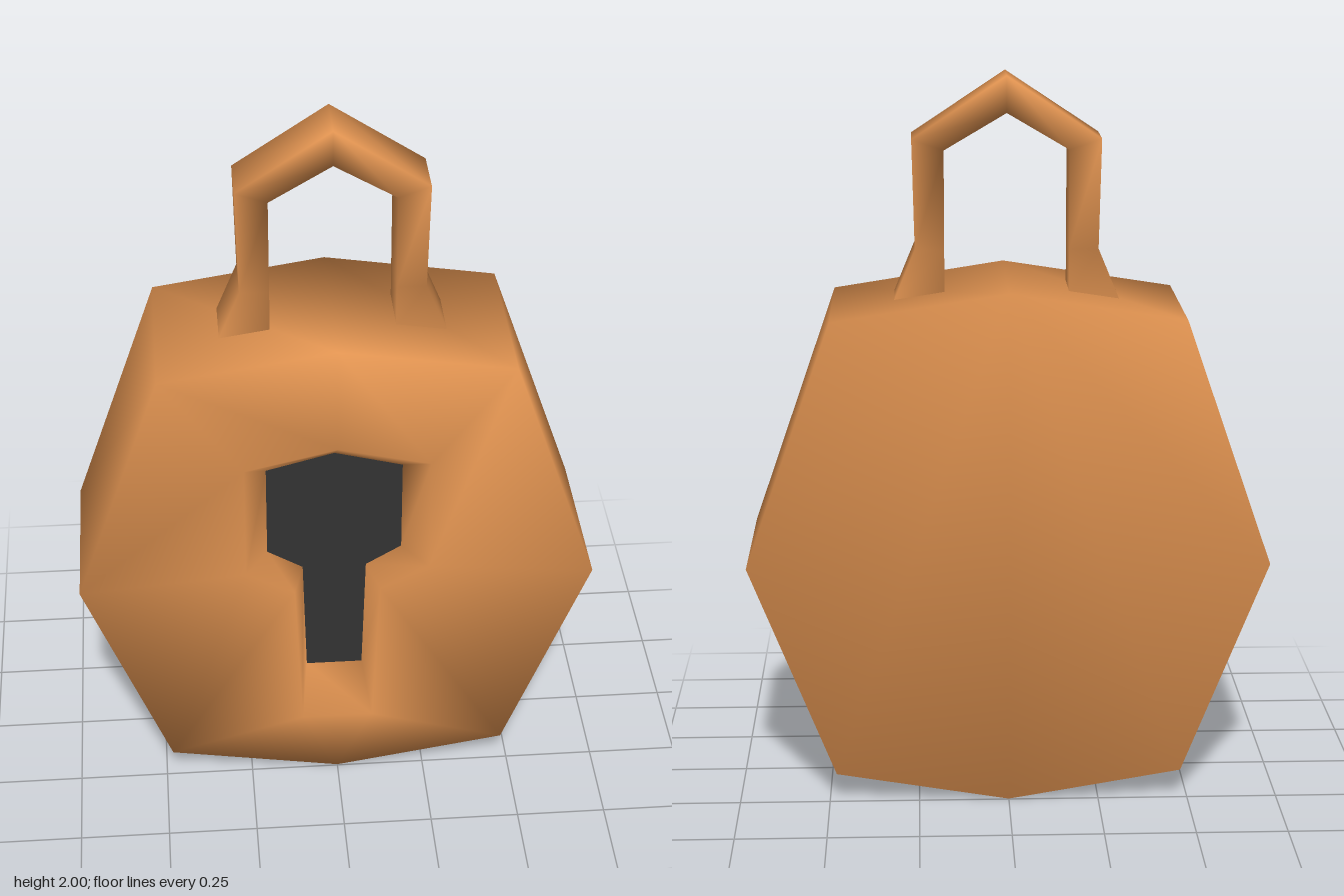
import * as THREE from 'three';

const FRONT = 0.247, BACK = -0.247, FLOOR = 0.125, HALF = 0.077;

// Mirrors a right-hand outline into a full ring, clockwise from the top.
// Points on the centre line are not repeated.
function mirrorRing(half) {
  const left = half.filter(([x]) => x > 0).map(([x, y]) => [-x, y]).reverse();
  return [...half, ...left];
}

// Smooth shaded mesh with shared corners
function smoothMesh(name, points, index, material) {
  const geometry = new THREE.BufferGeometry();
  geometry.setAttribute('position', new THREE.Float32BufferAttribute(points.flat(), 3));
  geometry.setIndex(index);
  geometry.computeVertexNormals();
  const mesh = new THREE.Mesh(geometry, material);
  mesh.name = name;
  return mesh;
}

function createBody(material, outline, rim, floor) {
  const points = [], index = [];
  const addRing = (ring, z) => {
    const start = points.length;
    ring.forEach(([x, y]) => points.push([x, y, z]));
    return ring.map((_, i) => start + i);
  };
  // Joins two rings through a list of matching corners
  const join = (a, b, pairs) => {
    for (let k = 0; k < pairs.length - 1; k++) {
      const a0 = a[pairs[k][0] % a.length], a1 = a[pairs[k + 1][0] % a.length];
      const b0 = b[pairs[k][1] % b.length], b1 = b[pairs[k + 1][1] % b.length];
      if (b0 !== b1) index.push(a0, b0, b1);
      if (a0 !== a1) index.push(a0, b1, a1);
    }
  };
  const around = n => Array.from({ length: n + 1 }, (_, i) => [i, i]);

  const back = addRing(outline, BACK);
  const front = addRing(outline, FRONT);
  const edge = addRing(rim, FRONT);
  const inner = addRing(floor, FLOOR);

  join(back, front, around(back.length)); // sides
  join(front, edge, [[0, 0], [1, 1], [2, 2], [3, 3], [3, 4], [4, 4],
    [4, 5], [5, 5], [5, 6], [6, 7], [7, 8], [8, 9]]); // face around the keyhole
  join(edge, inner, around(edge.length)); // sloping keyhole walls
  for (let i = 1; i < back.length - 1; i++) index.push(back[0], back[i], back[i + 1]);
  return smoothMesh('body', points, index, material);
}

function createShackle(material) {
  // Outer x, y and inner x, y at each station, from left foot to apex
  const half = [
    [0.31, 1.385, 0.17, 1.405],
    [0.25, 1.53, 0.17, 1.53],
    [0.257, 1.83, 0.17, 1.8],
    [0, 2, 0, 1.9],
  ];
  const stations = [...half,
    ...half.slice(0, 3).reverse().map(([ox, oy, ix, iy]) => [-ox, oy, -ix, iy])];
  const points = [], index = [];
  stations.forEach(([ox, oy, ix, iy]) => points.push(
    [ox, oy, HALF], [ox, oy, -HALF], [ix, iy, -HALF], [ix, iy, HALF]));
  for (let s = 0; s < stations.length - 1; s++) {
    for (let k = 0; k < 4; k++) {
      const a = s * 4 + k, b = s * 4 + (k + 1) % 4;
      index.push(a, b, b + 4, a, b + 4, a + 4);
    }
  }
  return smoothMesh('shackle', points, index, material);
}

export function createModel() {
  const copper = new THREE.MeshStandardMaterial({ color: 0xdf9250 });
  copper.name = 'copper';
  const dark = new THREE.MeshStandardMaterial({ color: 0x333333 });
  dark.name = 'dark grey';

  const outline = mirrorRing([[0, 1.44], [0.48, 1.365], [0.718, 0.68], [0.48, 0.08], [0, 0]]);
  const rim = mirrorRing([[0, 1.13], [0.255, 1.07], [0.255, 0.72], [0.12, 0.65], [0.1, 0.19]]);
  const floor = mirrorRing([[0, 1.035], [0.19, 0.985], [0.19, 0.705], [0.09, 0.645], [0.08, 0.29]]);

  // Dark plate at the bottom of the keyhole
  const shape = new THREE.Shape(floor.map(([x, y]) => new THREE.Vector2(x, y)));
  const keyhole = new THREE.Mesh(new THREE.ShapeGeometry(shape), dark);
  keyhole.name = 'keyhole';
  keyhole.position.z = FLOOR;

  const group = new THREE.Group();
  group.name = 'padlock';
  group.add(createBody(copper, outline, rim, floor), createShackle(copper), keyhole);
  return group;
}
